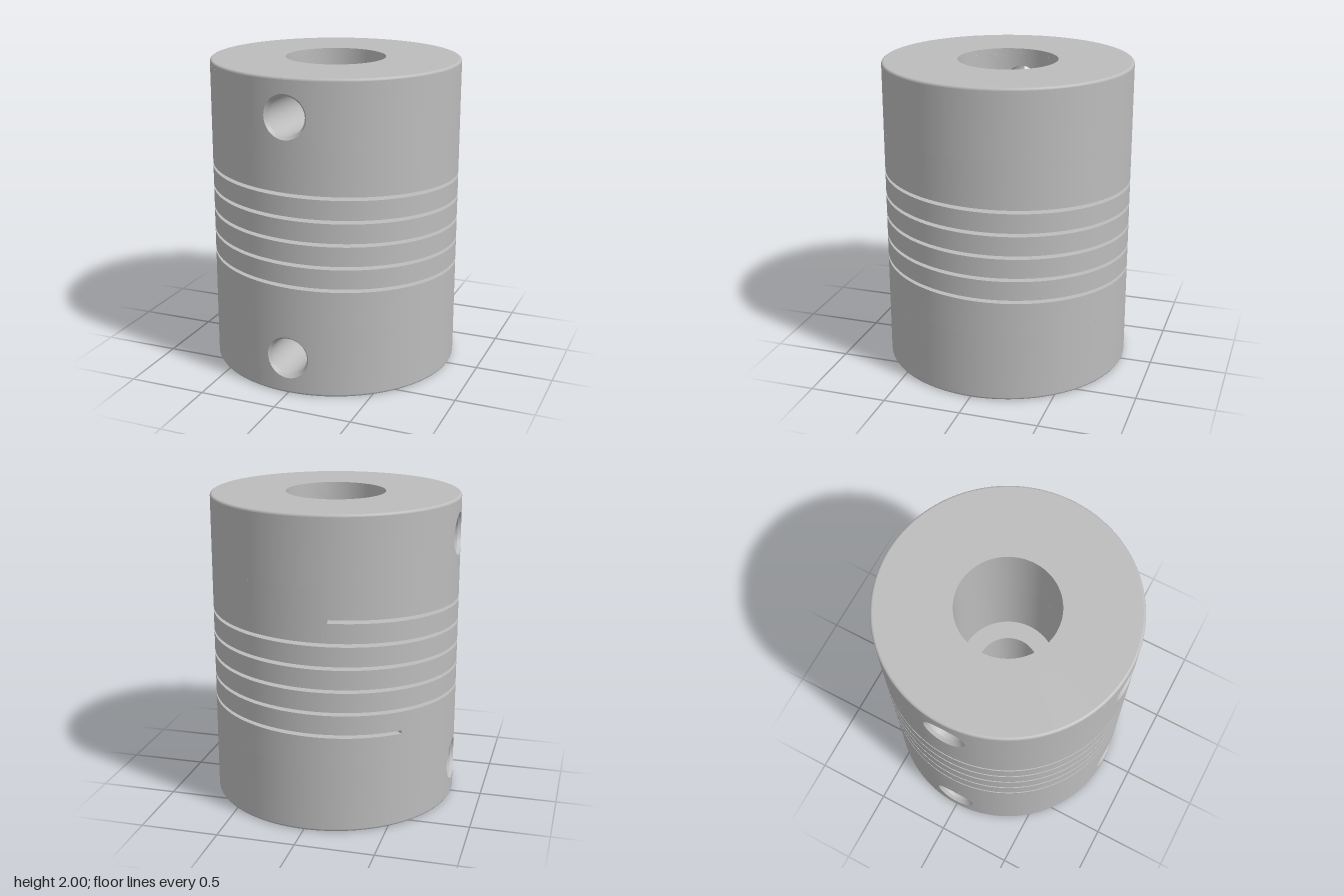
import * as THREE from 'three';

const TAU = Math.PI * 2, DEG = Math.PI / 180;
const R = 0.8, TOP_BORE = 0.32, LOW_BORE = 0.2, FILLET = 0.015;
const HOLE_Y = [0.24, 1.765], HOLE_AZ = [0, 270 * DEG], PANEL = 0.2;
const HOLE_R = 0.12, LIP_R = 0.137;

// Helical slit: azimuth runs from front towards +x, height falls with each turn
const A0 = 191 * DEG, A1 = 2025 * DEG, PITCH = 0.145, HALF = 0.011, FLOOR = 0.36;
const slitY = a => 1.297 - PITCH * (a - TAU) / TAU;

const polar = (a, r, y) => [r * Math.sin(a), y, r * Math.cos(a)];
const mix = (a, b, t) => a + (b - a) * t;

export function createModel() {
  const group = new THREE.Group();
  const steel = new THREE.MeshStandardMaterial({ color: 0xbcbcbc });
  steel.name = 'machined grey metal';

  // Grid surface from a rule f(u, v), facing du x dv (or the reverse when flipped)
  function patch(name, nu, nv, f, flip = false) {
    const pos = [], idx = [];
    for (let j = 0; j <= nv; j++)
      for (let i = 0; i <= nu; i++) pos.push(...f(i / nu, j / nv));
    for (let j = 0; j < nv; j++)
      for (let i = 0; i < nu; i++) {
        const a = j * (nu + 1) + i, b = a + 1, c = b + nu + 1, d = c - 1;
        if (flip) idx.push(a, c, b, a, d, c);
        else idx.push(a, b, c, a, c, d);
      }
    const g = new THREE.BufferGeometry();
    g.setAttribute('position', new THREE.Float32BufferAttribute(pos, 3));
    g.setIndex(idx);
    g.computeVertexNormals();
    const mesh = new THREE.Mesh(g, steel);
    mesh.name = name;
    group.add(mesh);
  }

  // Wall between two height rules over an azimuth range
  const wall = (name, r, a0, a1, lo, hi, flip) =>
    patch(name, Math.max(4, Math.ceil((a1 - a0) / TAU * 144)), 1, (u, v) => {
      const a = mix(a0, a1, u);
      return polar(a, r, mix(lo(a), hi(a), v));
    }, flip);

  // Full turn of a straight profile line
  const ring = (name, r0, y0, r1, y1, flip) =>
    patch(name, 144, 1, (u, v) => polar(u * TAU, mix(r0, r1, v), mix(y0, y1, v)), flip);

  // Cylinder band pierced by the two screw holes; p is the panel's half angle
  function piercedBand(name, r, yc, hole, p, flip) {
    const lo = () => yc - PANEL, hi = () => yc + PANEL;
    wall(name, r, p, HOLE_AZ[1] - p, lo, hi, flip);
    wall(name, r, HOLE_AZ[1] + p, TAU - p, lo, hi, flip);
    for (const az of HOLE_AZ)
      patch(name + 'HolePanel', 64, 6, (u, v) => {
        const c = Math.cos(u * TAU), s = Math.sin(u * TAU);
        const m = Math.max(Math.abs(c), Math.abs(s));
        const a = mix(c / m * p, Math.asin(hole * c / r), v);
        return polar(az + a, r, yc + mix(s / m * PANEL, hole * s, v));
      }, flip);
  }

  // Screw holes with a chamfered lip, running through to the bore
  function screwHole(az, yc, bore) {
    const at = (t, r, z) => {
      const x = r * Math.cos(t);
      return [x * Math.cos(az) + z * Math.sin(az), yc + r * Math.sin(t),
        z * Math.cos(az) - x * Math.sin(az)];
    };
    const depth = (t, r, cyl) => Math.sqrt(cyl * cyl - (r * Math.cos(t)) ** 2);
    patch('screwHoleLip', 64, 1, (u, v) => {
      const t = u * TAU, r = mix(LIP_R, HOLE_R, v);
      return at(t, r, depth(t, r, R) - 0.022 * v);
    });
    patch('screwHoleWall', 64, 1, (u, v) => {
      const t = u * TAU;
      return at(t, HOLE_R, mix(depth(t, HOLE_R, R) - 0.022, depth(t, HOLE_R, bore), v));
    });
  }

  HOLE_Y.forEach((y, i) => {
    const bore = i ? TOP_BORE : LOW_BORE;
    piercedBand('clampingHub', R, y, LIP_R, 0.25, false);
    piercedBand('bore', bore, y, HOLE_R, 0.72, true);
    HOLE_AZ.forEach(az => screwHole(az, y, bore));
  });

  // Outer wall around the slit: upper hub, spring coils, lower hub
  const [low, high] = HOLE_Y;
  const above = a => slitY(a) + HALF, below = a => slitY(a) - HALF;
  wall('upperHub', R, A0, A0 + TAU, above, () => high - PANEL);
  wall('springCoils', R, A0, A1 - TAU, a => above(a + TAU), below);
  wall('lowerHub', R, A1 - TAU, A1, () => low + PANEL, below);

  // Slit faces, floor and end walls
  const turns = Math.ceil((A1 - A0) / TAU * 144);
  const slitFace = (name, rule, flip) => patch(name, turns, 1, (u, v) => {
    const a = mix(A0, A1, u);
    return polar(a, mix(FLOOR, R, v), rule(a));
  }, flip);
  slitFace('slitUpperFace', above, false);
  slitFace('slitLowerFace', below, true);
  wall('slitFloor', FLOOR, A0, A1, below, above);
  [A0, A1].forEach((a, i) => patch('slitEnd', 1, 1,
    (u, v) => polar(a, mix(FLOOR, R, u), mix(below(a), above(a), v)), i === 0));

  // Rims, rounded edges and end faces
  ring('upperRim', R, high + PANEL, R, 2 - FILLET);
  ring('lowerRim', R, FILLET, R, low - PANEL);
  const edge = (name, yc, from, to) => patch(name, 144, 4, (u, v) => {
    const t = mix(from, to, v);
    return polar(u * TAU, R - FILLET + FILLET * Math.cos(t), yc + FILLET * Math.sin(t));
  });
  edge('upperRoundedEdge', 2 - FILLET, 0, Math.PI / 2);
  edge('lowerRoundedEdge', FILLET, -Math.PI / 2, 0);
  ring('topFace', R - FILLET, 2, TOP_BORE, 2);
  ring('bottomFace', LOW_BORE, 0, R - FILLET, 0);

  // Stepped bore
  ring('upperBore', TOP_BORE, high + PANEL, TOP_BORE, 2, true);
  ring('upperBore', TOP_BORE, 1, TOP_BORE, high - PANEL, true);
  ring('boreStep', TOP_BORE, 1, LOW_BORE, 1);
  ring('lowerBore', LOW_BORE, low + PANEL, LOW_BORE, 1, true);
  ring('lowerBore', LOW_BORE, 0, LOW_BORE, low - PANEL, true);

  return group;
}
